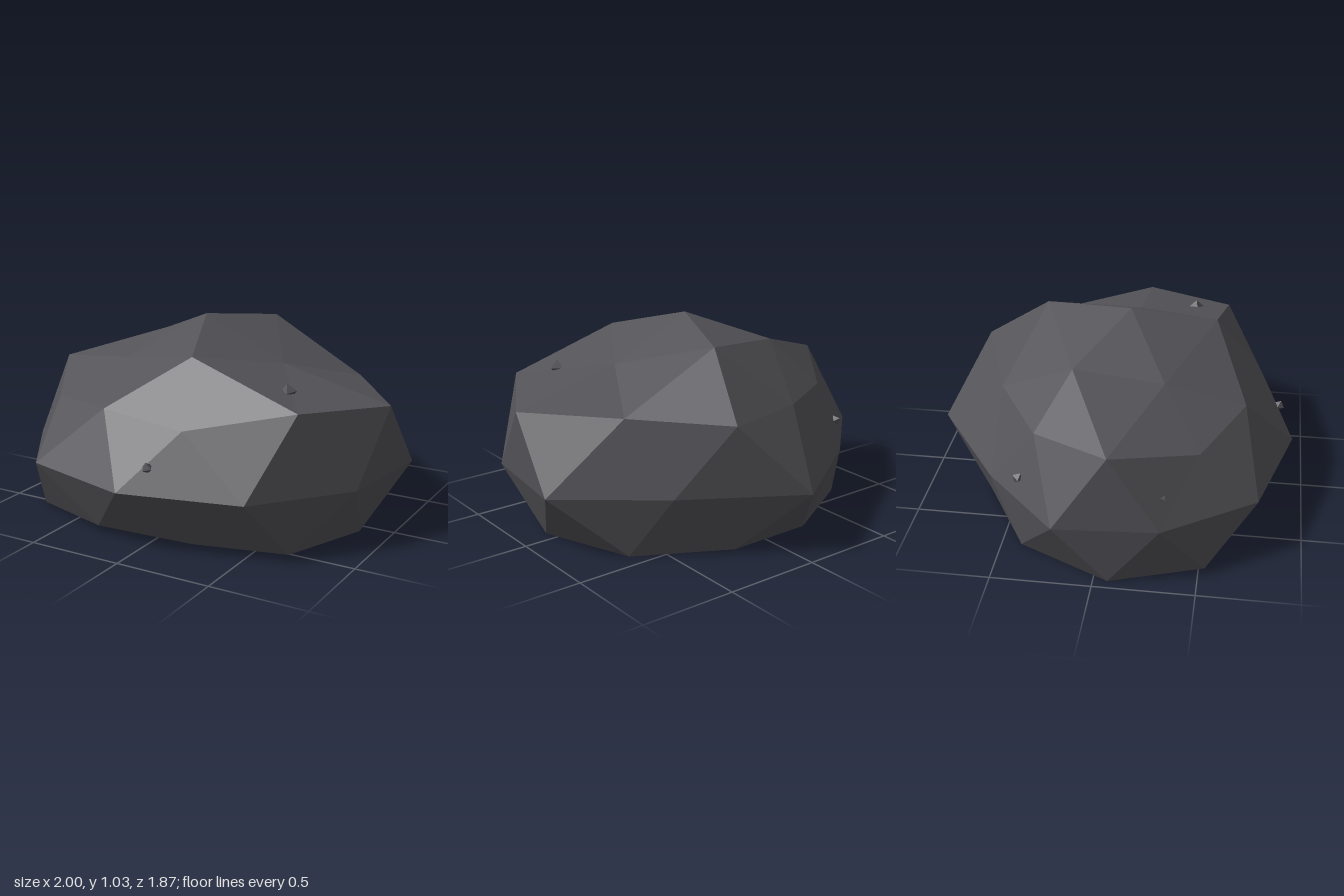
import * as THREE from 'three';

// Rings of [x, y, z], each running from the front (+z) round towards +x
const apex = [-0.05, 1.03, 0.07];
const crown = [[0.12, 0.91, 0.5], [0.4, 0.82, 0.07], [0.12, 0.96, -0.39], [-0.44, 0.87, -0.17], [-0.4, 0.8, 0.28]];
const shoulder = [
  [0.2, 0.61, 0.73], [0.71, 0.72, 0.54], [0.98, 0.68, 0.07], [0.64, 0.69, -0.36], [0.27, 0.68, -0.75],
  [-0.25, 0.64, -0.57], [-0.65, 0.62, -0.33], [-0.95, 0.7, 0.07], [-0.7, 0.6, 0.48], [-0.28, 0.64, 0.68],
];
const waist = [
  [-0.05, 0.93], [0.56, 0.78], [0.93, 0.34], [1, -0.21], [0.52, -0.59],
  [-0.05, -0.94], [-0.6, -0.57], [-1, -0.19], [-0.96, 0.32], [-0.65, 0.77],
].map(([x, z]) => [x, 0.32, z]);
const foot = [
  [0.2, 0.01, 0.65], [0.66, 0, 0.51], [0.84, 0, 0.07], [0.66, 0, -0.41], [0.2, 0, -0.66],
  [-0.26, 0, -0.66], [-0.72, 0, -0.4], [-0.95, 0, 0.07], [-0.79, 0, 0.53], [-0.3, 0.035, 0.73],
];

function rockGeometry() {
  const pos = [];
  const tri = (...corners) => corners.forEach((c) => pos.push(...c));
  const at = (ring, i) => ring[(i + ring.length) % ring.length];

  // Cap: apex to crown to shoulder
  for (let k = 0; k < 5; k++) {
    const a = crown[k], b = at(crown, k + 1);
    tri(apex, a, b);
    tri(a, at(shoulder, 2 * k + 1), b);
    tri(a, at(shoulder, 2 * k), at(shoulder, 2 * k + 1));
    tri(a, at(shoulder, 2 * k - 1), at(shoulder, 2 * k));
  }
  // Sides: shoulder to waist to foot, then the flat underside
  for (let j = 0; j < 10; j++) {
    tri(shoulder[j], waist[j], at(waist, j + 1));
    tri(at(shoulder, j - 1), waist[j], shoulder[j]);
    tri(waist[j], foot[j], at(waist, j + 1));
    tri(waist[j], at(foot, j - 1), foot[j]);
    tri([0, 0, 0], at(foot, j + 1), foot[j]);
  }
  const g = new THREE.BufferGeometry();
  g.setAttribute('position', new THREE.Float32BufferAttribute(pos, 3));
  g.computeVertexNormals();
  return g;
}

export function createModel() {
  const group = new THREE.Group();
  group.name = 'rock';
  const stone = new THREE.MeshStandardMaterial({ color: 0x545358, flatShading: true });
  stone.name = 'dark stone';

  const boulder = new THREE.Mesh(rockGeometry(), stone);
  boulder.name = 'boulder';
  group.add(boulder);

  // Small chips stuck to the surface: x, y, z, radius
  const chips = [
    [0.57, 0.765, 0.36, 0.042],
    [0.08, 0.445, 0.85, 0.03],
    [-0.88, 0.46, 0.325, 0.018],
    [-0.73, 0.41, -0.4, 0.03],
  ];
  chips.forEach(([x, y, z, r], i) => {
    const chip = new THREE.Mesh(new THREE.OctahedronGeometry(r), stone);
    chip.name = `chip${i + 1}`;
    chip.position.set(x, y, z);
    chip.rotation.set(0.2 * i, 0.3 + i, 0.15);
    group.add(chip);
  });
  return group;
}
